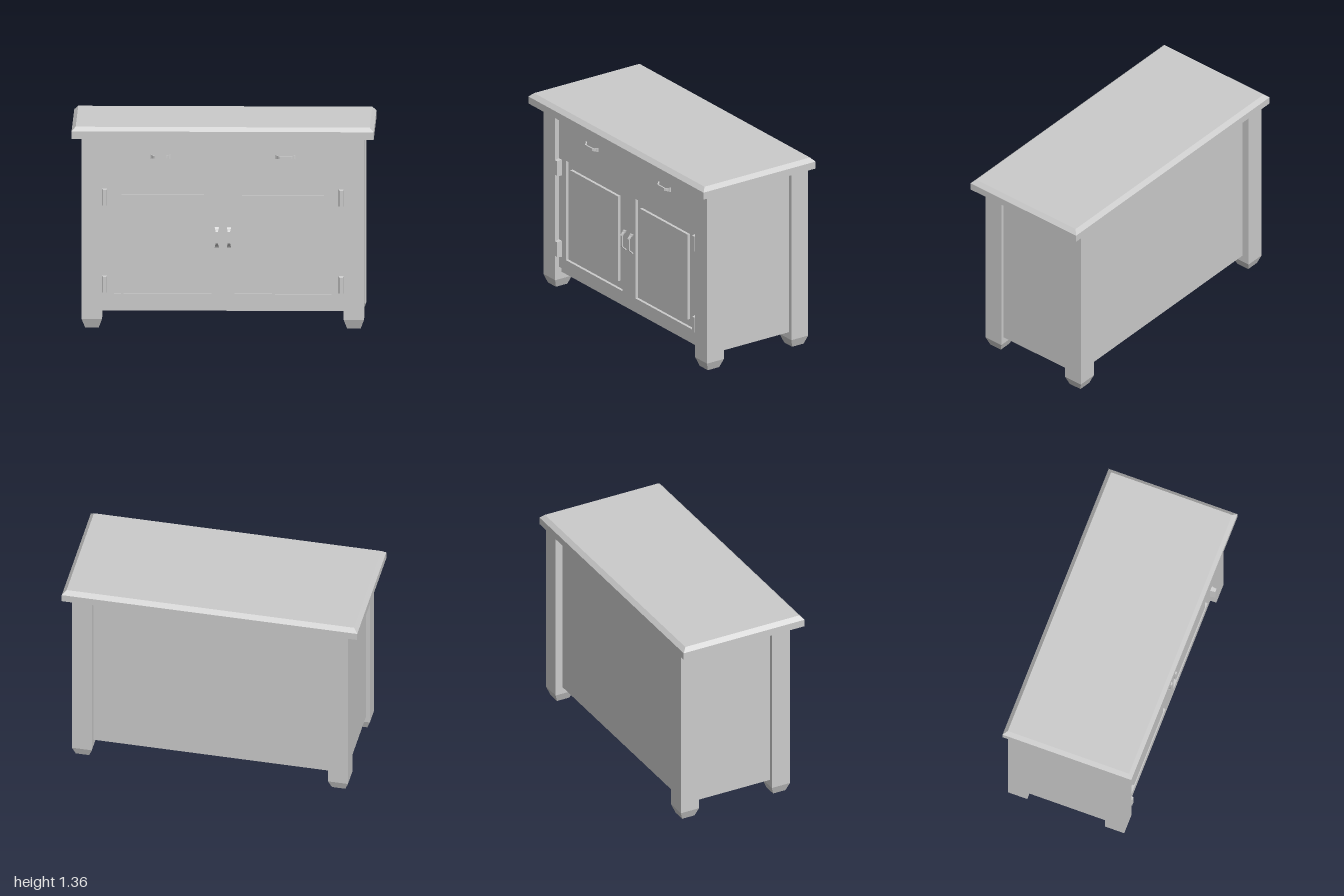
import * as THREE from 'three';

const grey = new THREE.MeshStandardMaterial({ color: 0xcccccc, flatShading: true, side: THREE.DoubleSide });

function add(parent, name, geometry, x = 0, y = 0, z = 0) {
  const mesh = new THREE.Mesh(geometry, grey);
  mesh.name = name;
  mesh.position.set(x, y, z);
  parent.add(mesh);
  return mesh;
}

// Box whose upper (end = 1) or lower (end = -1) face is inset on all four sides
function taperedBox(w, h, d, inset, end) {
  const g = new THREE.BoxGeometry(w, h, d);
  const p = g.attributes.position;
  for (let i = 0; i < p.count; i++) {
    if (Math.sign(p.getY(i)) !== end) continue;
    p.setX(i, p.getX(i) - Math.sign(p.getX(i)) * inset);
    p.setZ(i, p.getZ(i) - Math.sign(p.getZ(i)) * inset);
  }
  g.computeVertexNormals();
  return g;
}

function rect(Kind, x0, y0, x1, y1) {
  return new Kind([[x0, y0], [x1, y0], [x1, y1], [x0, y1]].map(([x, y]) => new THREE.Vector2(x, y)));
}

// Arched pull along x: feet touch the board and flare, the grip stands proud
function pullGeometry() {
  const g = new THREE.BoxGeometry(0.135, 0.018, 0.01, 14, 1, 1);
  const p = g.attributes.position;
  for (let i = 0; i < p.count; i++) {
    const t = Math.abs(p.getX(i)) / 0.0675;
    const s = THREE.MathUtils.smoothstep(t, 0.55, 1);
    p.setY(i, p.getY(i) * (1 + 0.6 * s * s));
    p.setZ(i, p.getZ(i) + 0.03 - 0.026 * s);
  }
  g.computeVertexNormals();
  return g;
}

export function createModel() {
  const cabinet = new THREE.Group();
  cabinet.name = 'cabinet';

  // Tabletop with chamfered upper rim
  add(cabinet, 'tabletop', new THREE.BoxGeometry(2, 0.05, 0.91), 0, 1.305, 0);
  add(cabinet, 'tabletopChamfer', taperedBox(2, 0.027, 0.91, 0.027, 1), 0, 1.3435, 0);

  // Four square legs with tapered feet
  for (const x of [-0.867, 0.867]) {
    for (const z of [0.312, -0.373]) {
      const leg = new THREE.Group();
      leg.name = 'leg';
      leg.position.set(x, 0, z);
      add(leg, 'post', new THREE.BoxGeometry(0.135, 1.22, 0.137), 0, 0.67, 0);
      add(leg, 'foot', taperedBox(0.135, 0.06, 0.137, 0.022, -1), 0, 0.03, 0);
      cabinet.add(leg);
    }
  }

  // Thin carcass walls, open at the bottom
  add(cabinet, 'backPanel', new THREE.PlaneGeometry(1.82, 1.17), 0, 0.695, -0.39).rotation.y = Math.PI;
  add(cabinet, 'frontBacking', new THREE.PlaneGeometry(1.82, 1.17), 0, 0.695, 0.33);
  for (const s of [-1, 1]) {
    add(cabinet, 'sidePanel', new THREE.PlaneGeometry(0.72, 1.17), s * 0.91, 0.695, -0.03).rotation.y = s * Math.PI / 2;
  }

  // Front board with two door recesses
  const board = rect(THREE.Shape, -0.82, 0.15, 0.82, 1.28);
  board.holes.push(rect(THREE.Path, 0.075, 0.225, 0.72, 0.94), rect(THREE.Path, -0.72, 0.225, -0.075, 0.94));
  add(cabinet, 'frontBoard', new THREE.ExtrudeGeometry(board, { depth: 0.02, bevelEnabled: false }), 0, 0, 0.33);

  const pull = pullGeometry();
  const hinge = taperedBox(0.034, 0.034, 0.115, 0.005, 1).rotateX(Math.PI / 2);
  for (const s of [-1, 1]) {
    // Raised door centre, pulls and hinges
    add(cabinet, 'doorPanel', new THREE.BoxGeometry(0.545, 0.61, 0.02), s * 0.3975, 0.583, 0.34);
    add(cabinet, 'drawerPull', pull, s * 0.413, 1.146, 0.35);
    add(cabinet, 'doorPull', pull, s * 0.04, 0.607, 0.35).rotation.z = Math.PI / 2;
    for (const y of [0.29, 0.873]) add(cabinet, 'hinge', hinge, s * 0.783, y, 0.367);
  }
  return cabinet;
}
